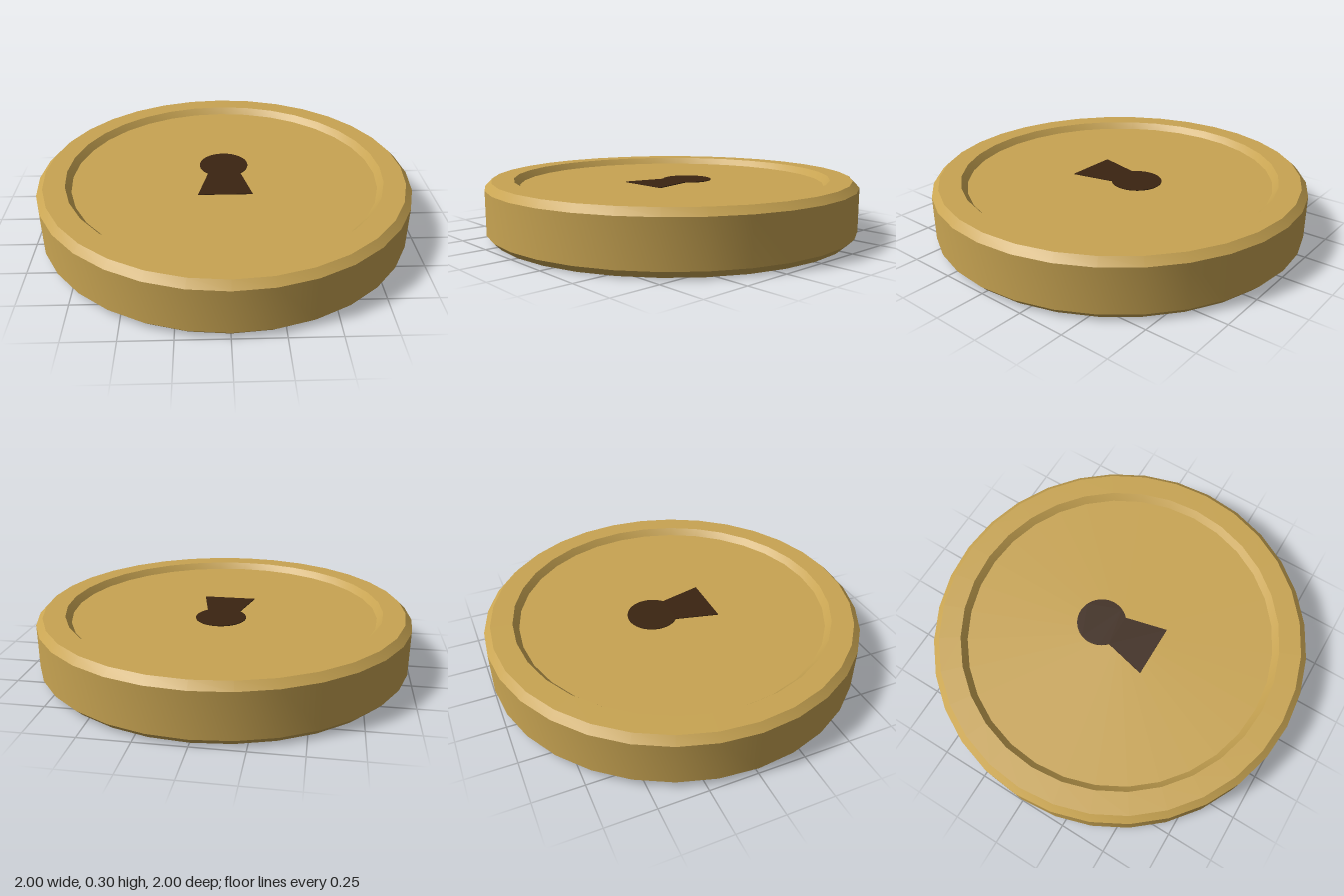
import * as THREE from 'three';
import { toCreasedNormals } from 'three/addons/utils/BufferGeometryUtils.js';

const HEIGHT = 0.3;
const RECESS = 0.035; // depth of the sunken face on each side
const PLATE = 0.004;

export function createModel() {
  const gold = new THREE.MeshStandardMaterial({ color: 0xc8a452 });
  gold.name = 'gold';
  const darkBrown = new THREE.MeshStandardMaterial({ color: 0x3a2411 });
  darkBrown.name = 'darkBrown';

  const coin = new THREE.Group();
  coin.name = 'coin';

  // Disc with bevelled rim and a shallow recess; the lower half mirrors the upper
  const lower = [[0, RECESS], [0.82, RECESS], [0.85, 0], [0.965, 0], [1, 0.035]];
  const upper = lower.map(([r, y]) => [r, HEIGHT - y]).reverse();
  const profile = [...lower, ...upper].map(([r, y]) => new THREE.Vector2(r, y));
  const disc = new THREE.Mesh(toCreasedNormals(new THREE.LatheGeometry(profile, 32), 0.5), gold);
  disc.name = 'disc';
  coin.add(disc);

  // Keyhole outline: round head on a flared foot
  const outline = new THREE.Shape();
  outline.moveTo(-0.142, -0.209);
  outline.lineTo(0.142, -0.209);
  outline.lineTo(0.089, 0.015);
  outline.absarc(0, 0.116, 0.133, -0.85, Math.PI + 0.85, false);
  outline.closePath();
  const plate = new THREE.ExtrudeGeometry(outline, { depth: PLATE, bevelEnabled: false, curveSegments: 24 });
  plate.rotateX(-Math.PI / 2);

  // One thin keyhole plate on each recessed face
  const addKeyhole = (name, y) => {
    const keyhole = new THREE.Mesh(plate, darkBrown);
    keyhole.name = name;
    keyhole.position.y = y;
    coin.add(keyhole);
  };
  addKeyhole('topKeyhole', HEIGHT - RECESS);
  addKeyhole('bottomKeyhole', RECESS - PLATE);

  return coin;
}
